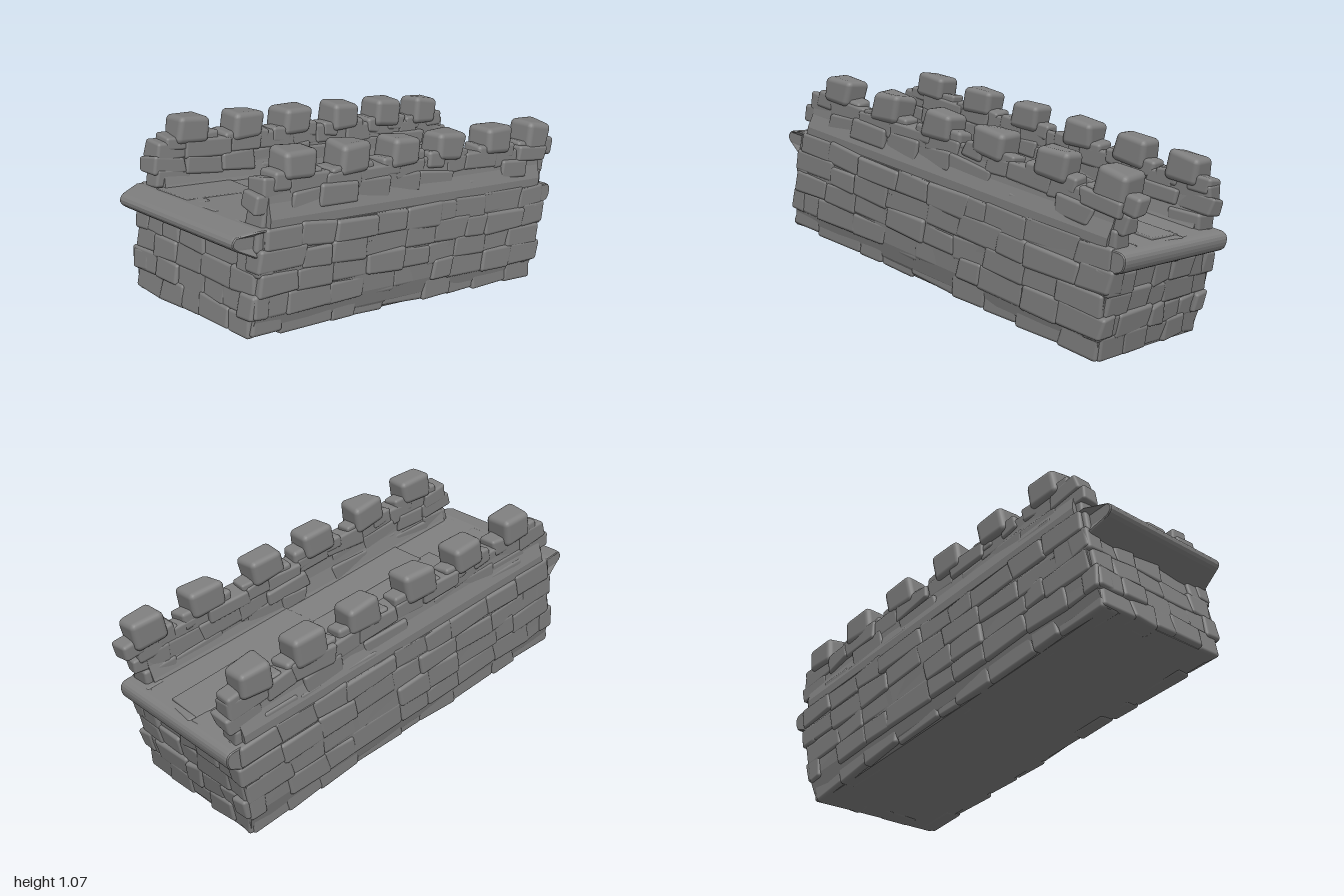
import * as THREE from 'three';
import { mergeGeometries } from 'three/addons/utils/BufferGeometryUtils.js';
import { RoundedBoxGeometry } from 'three/addons/geometries/RoundedBoxGeometry.js';

const material = new THREE.MeshStandardMaterial({ color: 0x7e7e7e });
const BASE = 0.16, DECK = 0.62;      // foot and walkway heights
const LEFT = -0.96, RIGHT = 0.83;    // ends of the wall along its length
const HALF = 0.375;                  // half thickness of the wall

let seed = 7;
const rand = () => {
  seed = (seed * 16807) % 2147483647;
  return seed / 2147483647;
};
const jit = (a) => (rand() * 2 - 1) * a;

// Rounded block whose eight corners are nudged, so every stone is irregular
function stone(x, y, z, w, h, d, rough = 0.012, round = 0.2) {
  const g = new RoundedBoxGeometry(w, h, d, 2, Math.min(w, h, d) * round);
  const corners = Array.from({ length: 8 }, () => [jit(rough), jit(rough), jit(rough * 0.7)]);
  const p = g.attributes.position;
  for (let i = 0; i < p.count; i++) {
    const v = [p.getX(i), p.getY(i), p.getZ(i)];
    const t = [v[0] / w + 0.5, v[1] / h + 0.5, v[2] / d + 0.5];
    corners.forEach((c, k) => {
      const f = (k & 1 ? t[0] : 1 - t[0]) * (k & 2 ? t[1] : 1 - t[1]) * (k & 4 ? t[2] : 1 - t[2]);
      for (let a = 0; a < 3; a++) v[a] += c[a] * f;
    });
    p.setXYZ(i, v[0] + x, v[1] + y, v[2] + z);
  }
  return g;
}

function mesh(geometries, name) {
  const m = new THREE.Mesh(mergeGeometries(geometries), material);
  m.name = name;
  return m;
}

// Splits a length into uneven stones and calls place(middle, width) for each
function course(from, to, size, place) {
  const n = Math.max(1, Math.round((to - from) / size));
  const cuts = [from];
  for (let i = 1; i < n; i++) cuts.push(from + ((to - from) * (i + jit(0.25))) / n);
  cuts.push(to);
  for (let i = 0; i < n; i++) place((cuts[i] + cuts[i + 1]) / 2, cuts[i + 1] - cuts[i]);
}

// Runs a cross-section of [z, y] points along the wall from x0 to x1
function runAlong(section, x0, x1, name) {
  const shape = new THREE.Shape(section.map(([z, y]) => new THREE.Vector2(-z, y)));
  const g = new THREE.ExtrudeGeometry(shape, { depth: x1 - x0, bevelEnabled: false });
  g.rotateY(Math.PI / 2).translate(x0, 0, 0);
  return mesh([g], name);
}

// Solid plastered body with shallow courses of stones on all four sides
function wallBody() {
  const g = new THREE.Group();
  g.name = 'wallBody';
  const edge = [[0.335, BASE], [0.358, 0.2], [HALF, 0.27], [HALF + 0.006, 0.45], [HALF + 0.004, DECK - 0.01]];
  const section = [...edge, ...edge.map(([z, y]) => [-z, y]).reverse()];
  g.add(runAlong(section, LEFT + 0.008, RIGHT - 0.002, 'wallCore'));

  const rows = 5, h = (DECK - BASE) / rows;
  for (const s of [1, -1]) {
    const list = [];
    for (let r = 0; r < rows; r++) {
      const y = BASE + (r + 0.5) * h + (r ? 0 : 0.008);
      const inset = [0.025, 0.006, 0, 0, 0][r], shift = r % 2 ? 0.015 : -0.01;
      course(LEFT - shift, RIGHT + shift, 0.2, (x, w) =>
        list.push(stone(x, y + jit(0.006), s * (HALF - 0.04 - inset + rand() * 0.016),
          w + 0.012, h + 0.01, 0.09, 0.01, 0.16)));
    }
    g.add(mesh(list, s > 0 ? 'frontStones' : 'backStones'));
  }
  for (const [x, s, name] of [[LEFT, -1, 'rightEndStones'], [RIGHT, 1, 'leftEndStones']]) {
    const list = [];
    for (let r = 0; r < rows; r++) {
      const y = BASE + (r + 0.5) * h + (r ? 0 : 0.008);
      const end = [0.35, 0.376, 0.364, 0.38, 0.366][r];
      course(-end, end, 0.14, (z, w) =>
        list.push(stone(x + s * (rand() * 0.014 - 0.042), y, z, 0.09, h + 0.01, w + 0.012, 0.01, 0.16)));
    }
    g.add(mesh(list, name));
  }
  // The foot rises a little toward the high end
  for (const part of g.children) {
    const p = part.geometry.attributes.position;
    for (let i = 0; i < p.count; i++) {
      const low = (DECK - p.getY(i)) / (DECK - BASE);
      const along = (RIGHT - p.getX(i)) / (RIGHT - LEFT);
      p.setY(i, p.getY(i) + low * (0.003 + 0.017 * along));
    }
  }
  return g;
}

// Walkway with a tapering lip over each end, and thin uneven paving
function walkway() {
  const g = new THREE.Group();
  g.name = 'walkway';
  const s = new THREE.Shape();
  s.moveTo(LEFT + 0.03, 0.5);
  s.lineTo(-1.06, 0.55);
  s.quadraticCurveTo(-1.1, 0.57, -1.07, 0.597);
  s.lineTo(-0.98, DECK);
  s.lineTo(0.85, DECK);
  s.quadraticCurveTo(0.885, 0.62, 0.885, 0.585);
  s.quadraticCurveTo(0.885, 0.55, 0.86, 0.545);
  s.lineTo(RIGHT - 0.03, 0.51);
  const d = 2 * HALF - 0.014;
  const slab = new THREE.ExtrudeGeometry(s, {
    depth: d, bevelEnabled: true, bevelSize: 0.006, bevelThickness: 0.014, bevelSegments: 2, curveSegments: 5,
  });
  slab.translate(0, 0, -d / 2);
  // The longer lip narrows toward its tip
  const p = slab.attributes.position;
  for (let i = 0; i < p.count; i++)
    if (p.getX(i) < -1) p.setZ(i, p.getZ(i) * 0.915);
  slab.computeVertexNormals();
  g.add(mesh([slab], 'deckSlab'));

  const list = [];
  for (const z of [-0.175, 0, 0.175])
    course(-0.96, 0.81, 0.35, (x, w) =>
      list.push(stone(x, DECK - 0.008 + jit(0.004), z, w + 0.01, 0.03, 0.19, 0.008, 0.15)));
  g.add(mesh(list, 'pavingStones'));
  return g;
}

// Low wall along one edge: plastered core, rough courses, ragged ends, merlons
function parapet(side, merlonX) {
  const g = new THREE.Group();
  g.name = side > 0 ? 'frontParapet' : 'backParapet';
  const z = side * 0.314, top = 0.815;
  const section = [[0.24, DECK - 0.02], [0.378, 0.55], [0.38, 0.66], [0.36, 0.72], [0.35, 0.8],
    [0.28, 0.8], [0.272, 0.7], [0.256, 0.64]].map(([a, y]) => [side * a, y]);
  g.add(runAlong(section, -0.93, 0.79, 'parapetCore'));

  const list = [];
  const rows = 3, h = (top - DECK) / rows;
  for (let r = 0; r < rows; r++) {
    const out = [0.01, 0.04, 0.02][r];
    course(-0.94 - out, 0.8 + out, 0.18, (x, w) =>
      list.push(stone(x, DECK + (r + 0.5) * h + jit(0.008), z + jit(0.01),
        w + 0.012, h + 0.014, 0.085 + rand() * 0.025, 0.013, 0.16)));
  }
  g.add(mesh(list, 'parapetStones'));

  const merlons = [];
  for (const x of merlonX) {
    merlons.push(stone(x, 0.86, z, 0.15 + rand() * 0.02, 0.125, 0.128, 0.012));
    // shoulder stones beside the merlon
    merlons.push(stone(x + 0.08, 0.81, z, 0.11, 0.06 + rand() * 0.03, 0.09));
    merlons.push(stone(x - 0.08, 0.805, z, 0.1, 0.06 + rand() * 0.03, 0.095));
  }
  g.add(mesh(merlons, 'merlons'));
  return g;
}

export function createModel() {
  seed = 7;
  const wall = new THREE.Group();
  wall.name = 'battlementWall';
  wall.add(
    wallBody(), walkway(),
    parapet(1, [-0.78, -0.48, -0.17, 0.12, 0.45, 0.75]),
    parapet(-1, [-0.79, -0.49, -0.2, 0.11, 0.4, 0.68]),
  );
  // The whole section leans down toward one end, turns and rolls slightly
  const deg = THREE.MathUtils.degToRad;
  wall.rotation.set(deg(-1.7), deg(6.1), deg(-10.5), 'YZX');
  wall.position.set(0, 0.008, 0.012);

  const model = new THREE.Group();
  model.name = 'stoneWallSection';
  model.add(wall);
  return model;
}
